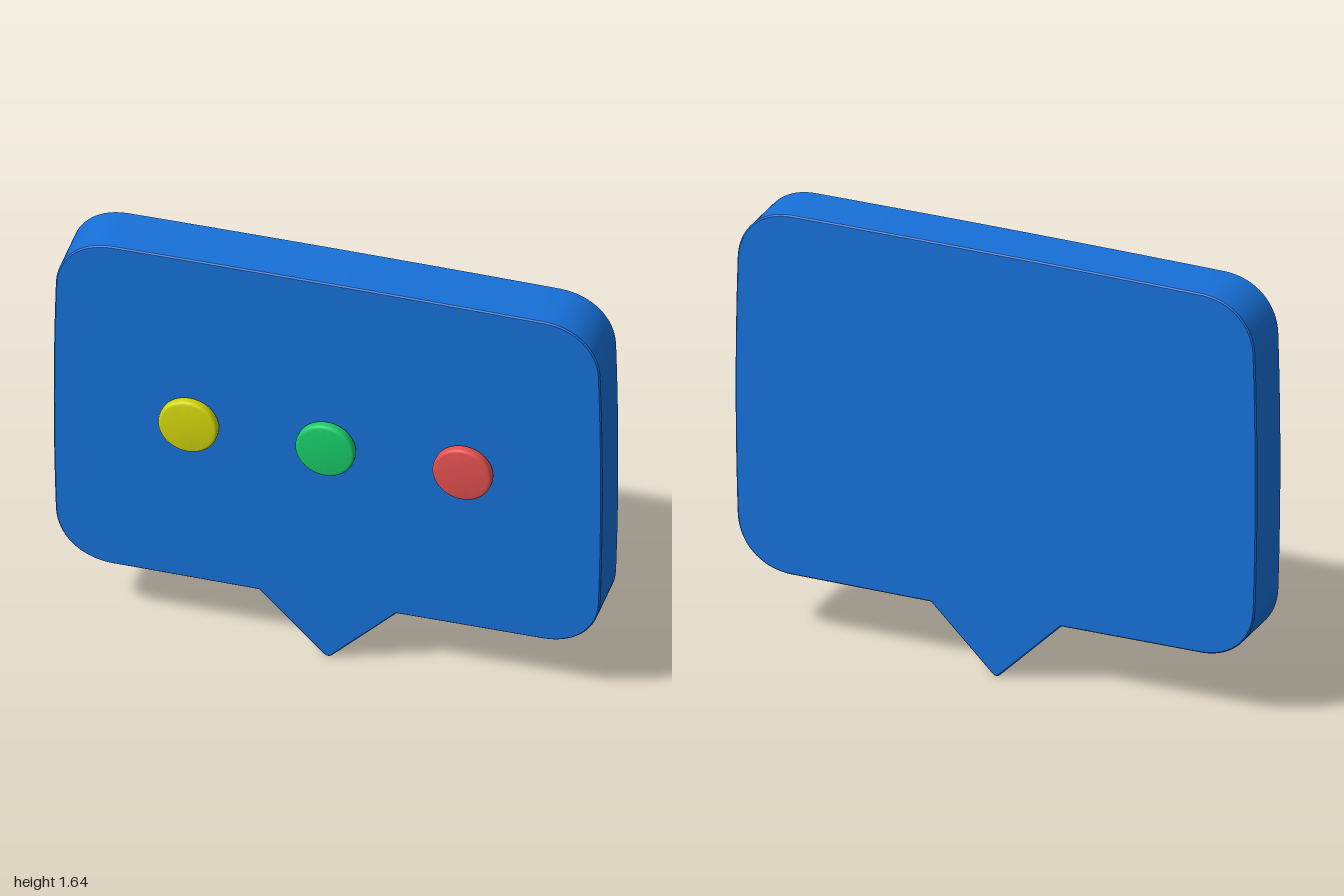
import * as THREE from 'three';
import { toCreasedNormals } from 'three/addons/utils/BufferGeometryUtils.js';

const material = (color) => new THREE.MeshStandardMaterial({ color });

// Rounded speech-bubble outline with a blunt-tipped tail at the bottom
function bubbleShape() {
  const s = new THREE.Shape();
  const x0 = 0.79, x1 = 0.992, b = 0.242, t = 1.632, k = 0.09;
  s.moveTo(-0.02, 0.012);
  s.quadraticCurveTo(0, -0.012, 0.02, 0.012);
  s.lineTo(0.25, 0.24);
  s.lineTo(x0, b);
  s.bezierCurveTo(x0 + 0.12, b + 0.004, x1 - 0.004, b + k, x1, b + 0.2);
  s.quadraticCurveTo(1.008, (b + t) / 2, x1, t - 0.2);
  s.bezierCurveTo(x1 - 0.004, t - k, x0 + 0.12, t - 0.004, x0, t);
  s.quadraticCurveTo(0, t + 0.008, -x0, t);
  s.bezierCurveTo(-x0 - 0.12, t - 0.004, -x1 + 0.004, t - k, -x1, t - 0.2);
  s.quadraticCurveTo(-1.008, (b + t) / 2, -x1, b + 0.2);
  s.bezierCurveTo(-x1 + 0.004, b + k, -x0 - 0.12, b + 0.004, -x0, b);
  s.lineTo(-0.25, 0.24);
  s.closePath();
  return s;
}

// Round button with softened rims, its axis turned to face +z
function buttonGeometry(radius, depth, rim) {
  const profile = [new THREE.Vector2(0, 0)];
  for (const [cy, start] of [[rim, -Math.PI / 2], [depth - rim, 0]]) {
    for (let i = 0; i <= 4; i++) {
      const a = start + (i / 4) * (Math.PI / 2);
      profile.push(new THREE.Vector2(radius - rim + rim * Math.cos(a), cy + rim * Math.sin(a)));
    }
  }
  profile.push(new THREE.Vector2(0, depth));
  const g = new THREE.LatheGeometry(profile, 48).rotateX(Math.PI / 2);
  return toCreasedNormals(g, 0.5);
}

export function createModel() {
  const model = new THREE.Group();
  model.name = 'speechBubble';

  // Bubble slab with a fine edge bevel
  const bevel = 0.005;
  const slab = new THREE.ExtrudeGeometry(bubbleShape(), {
    depth: 0.21 - 2 * bevel, curveSegments: 16,
    bevelEnabled: true, bevelSize: bevel, bevelThickness: bevel,
    bevelOffset: -bevel, bevelSegments: 1,
  }).translate(0, 0, -0.127 + bevel);
  const bubble = new THREE.Mesh(toCreasedNormals(slab, 0.5), material(0x1770d8));
  bubble.name = 'bubble';
  model.add(bubble);

  // Three coloured buttons across the front
  const geometry = buttonGeometry(0.108, 0.041, 0.012);
  [['yellowButton', 0xd2d40c], ['greenButton', 0x18cc6a], ['redButton', 0xe25050]].forEach(([name, color], i) => {
    const button = new THREE.Mesh(geometry, material(color));
    button.name = name;
    button.position.set((i - 1) * 0.5, 0.93, 0.086);
    model.add(button);
  });

  return model;
}
